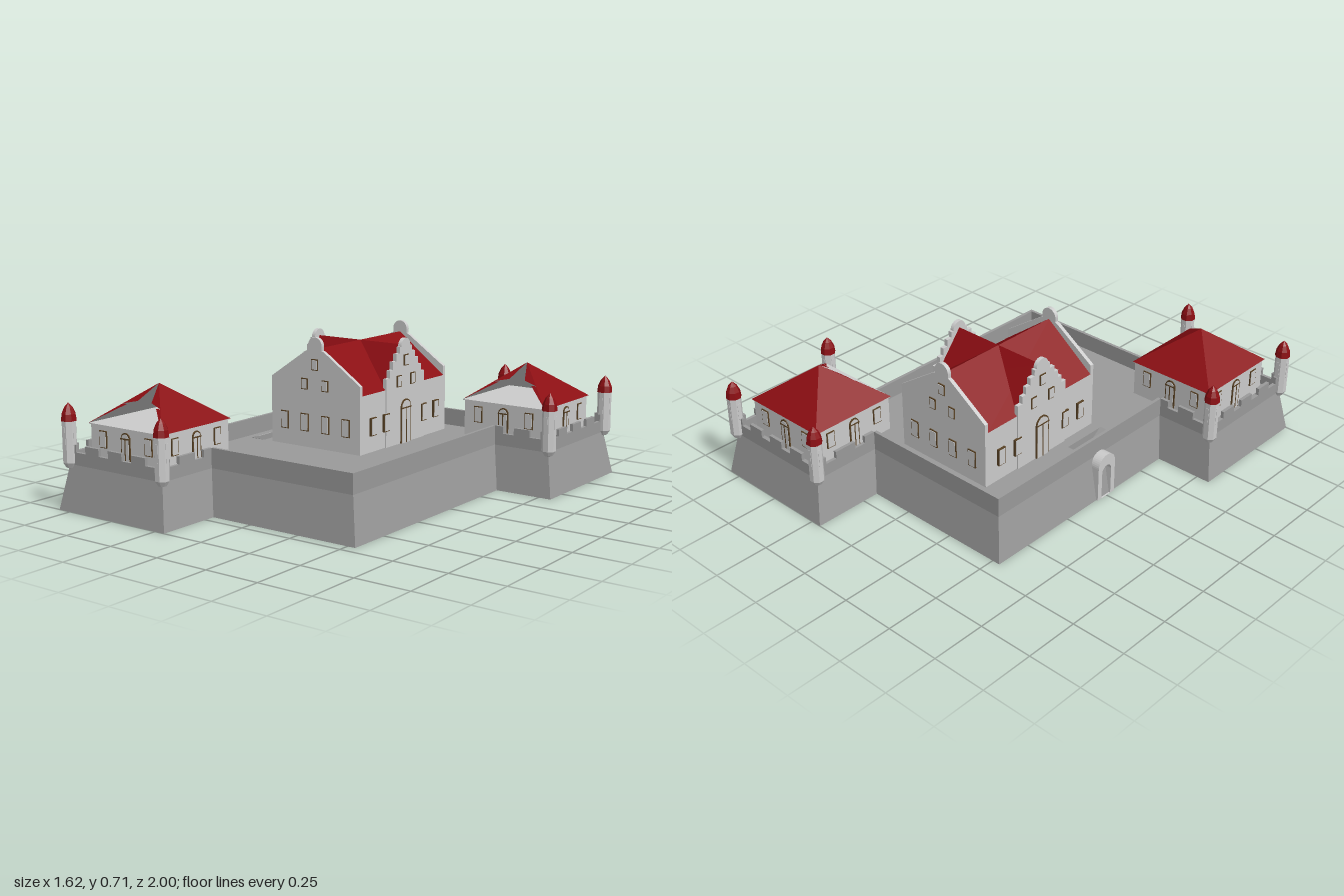
import * as THREE from 'three';

const mat = (color, side = THREE.FrontSide) =>
  new THREE.MeshStandardMaterial({ color, side, flatShading: true });
const GREY = mat(0xcccccc), STONE = mat(0x9a9a9a, THREE.DoubleSide), RED = mat(0x8b0d12);
const BROWN = mat(0x5a4326), UNDER = mat(0xcccccc, THREE.BackSide);
const FLOOR = 0.21, WALL_TOP = 0.288;

function add(parent, name, geometry, material, x = 0, y = 0, z = 0) {
  const m = new THREE.Mesh(geometry, material);
  m.name = name;
  m.position.set(x, y, z);
  parent.add(m);
  return m;
}
function group(parent, name, x = 0, y = 0, z = 0, turn = 0) {
  const g = new THREE.Group();
  g.name = name;
  g.position.set(x, y, z);
  g.rotation.y = turn;
  parent.add(g);
  return g;
}
const box = (w, h, d) => new THREE.BoxGeometry(w, h, d);
const shapeOf = pts => new THREE.Shape(pts.map(p => new THREE.Vector2(p[0], p[1])));
const slab = (shape, depth) =>
  new THREE.ExtrudeGeometry(shape, { depth, bevelEnabled: false, curveSegments: 10 });
function faces(points) {
  const g = new THREE.BufferGeometry();
  g.setAttribute('position', new THREE.Float32BufferAttribute(points.flat(), 3));
  g.computeVertexNormals();
  return g;
}
function archShape(w, h) {
  const r = w / 2, s = new THREE.Shape();
  s.moveTo(-r, 0);
  s.lineTo(r, 0);
  s.lineTo(r, h - r);
  s.absarc(0, h - r, r, 0, Math.PI, false);
  s.closePath();
  return s;
}

// Openings on a facade lying in the local xy plane
function windowAt(g, x, y, w, h) {
  add(g, 'windowFrame', box(w, h, 0.01), BROWN, x, y, 0);
  add(g, 'windowPane', box(w - 0.008, h - 0.008, 0.014), GREY, x, y, 0);
}
function doorAt(g, w, h) {
  add(g, 'doorFrame', slab(archShape(w, h), 0.01), BROWN, 0, FLOOR, -0.005);
  add(g, 'doorPanel', slab(archShape(w - 0.012, h - 0.006), 0.012), GREY, 0, FLOOR, -0.005);
  add(g, 'doorTransom', box(w, 0.006, 0.016), BROWN, 0, FLOOR + h - w / 2, 0);
  add(g, 'doorMullion', box(0.005, h - w / 2, 0.016), BROWN, 0, FLOOR + (h - w / 2) / 2, 0);
}

// Outline of the fort in x, z, going round with the outside on the right
const OUTLINE = [[-0.813, 1], [-0.2, 1], [-0.2, 0.7], [0.538, 0.7], [0.538, -0.388], [0.81, -0.388],
  [0.81, -1], [0.2, -1], [0.2, -0.675], [-0.537, -0.675], [-0.537, 0.383], [-0.813, 0.383]];
const COUNT = OUTLINE.length;
function inset(d) {
  return OUTLINE.map((p, i) => {
    const a = OUTLINE[(i + COUNT - 1) % COUNT], b = OUTLINE[(i + 1) % COUNT];
    return [p[0] + d * (Math.sign(p[1] - a[1]) + Math.sign(b[1] - p[1])),
      p[1] - d * (Math.sign(p[0] - a[0]) + Math.sign(b[0] - p[0]))];
  });
}

function rampart(parent) {
  const g = group(parent, 'rampart');
  const top = inset(0.037), tris = [];
  OUTLINE.forEach((a, i) => {
    const j = (i + 1) % COUNT, b = OUTLINE[j], c = top[j], d = top[i];
    const A = [a[0], 0, a[1]], B = [b[0], 0, b[1]], C = [c[0], 0.2, c[1]], D = [d[0], 0.2, d[1]];
    tris.push(A, B, C, A, C, D);

    // Parapet on this edge, notched around the bastions
    const dx = c[0] - d[0], dz = c[1] - d[1], len = Math.hypot(dx, dz);
    const pts = [[0, 0.2], [len, 0.2], [len, WALL_TOP]];
    if (![2, 3, 8, 9].includes(i)) {
      const n = Math.max(2, Math.round(len / 0.13)), step = len / n;
      for (let k = n - 1; k >= 0; k--) {
        const m = (k + 0.5) * step;
        pts.push([m + 0.028, WALL_TOP], [m + 0.028, 0.255], [m - 0.028, 0.255], [m - 0.028, WALL_TOP]);
      }
    }
    pts.push([0, WALL_TOP]);
    const edge = group(g, 'parapetSide', d[0], 0, d[1], Math.atan2(-dz, dx));
    add(edge, 'parapet', slab(shapeOf(pts), 0.015), STONE, 0, 0, -0.015);
  });
  add(g, 'slopingWalls', faces(tris), STONE);
  add(g, 'underside', new THREE.ShapeGeometry(shapeOf(OUTLINE)), STONE).rotation.x = Math.PI / 2;

  // Courtyard floor with the sunken ramp by the gate
  const yard = shapeOf(top.map(p => [p[0], -p[1]]));
  yard.holes.push(new THREE.Path([[-0.45, 0.07], [-0.375, 0.07], [-0.375, -0.15], [-0.45, -0.15]]
    .map(p => new THREE.Vector2(p[0], p[1]))));
  add(g, 'courtyard', new THREE.ShapeGeometry(yard), STONE, 0, FLOOR, 0).rotation.x = -Math.PI / 2;
  const wedge = slab(shapeOf([[-0.15, 0], [0.07, 0], [0.07, 0.05], [-0.15, FLOOR]]), 0.075);
  add(g, 'ramp', wedge, STONE, -0.375, 0.001, 0).rotation.y = Math.PI / 2;
  g.getObjectByName('ramp').position.x = -0.45;
  for (const x of [-0.45, -0.375]) add(g, 'rampWall', box(0.002, 0.2, 0.22), STONE, x, 0.108, 0.04);
  add(g, 'rampEnd', box(0.075, 0.2, 0.002), STONE, -0.4125, 0.108, -0.07);

  // Gate surround in the left wall
  const gate = archShape(0.11, 0.215), hole = archShape(0.06, 0.16);
  gate.holes.push(new THREE.Path(hole.getPoints(8)));
  add(g, 'gate', slab(gate, 0.05), GREY, -0.495, 0, -0.005).rotation.y = -Math.PI / 2;
}

function turret(parent, x, z) {
  const g = group(parent, 'turret', x, 0, z, Math.PI / 8);
  const lathe = pts => new THREE.LatheGeometry(pts.map(p => new THREE.Vector2(p[0], p[1])), 8);
  add(g, 'turretShaft', lathe([[0, 0.18], [0.018, 0.186], [0.032, 0.208], [0.032, 0.395], [0, 0.395]]), GREY);
  add(g, 'turretRoof', lathe([[0, 0.39], [0.035, 0.39], [0.031, 0.42], [0.019, 0.447], [0, 0.468]]), RED);
  for (let k = 0; k < 4; k++) {
    const side = group(g, 'turretSide', 0, 0, 0, k * Math.PI / 2 - Math.PI / 8);
    add(side, 'slit', box(0.012, 0.08, 0.003), GREY, 0, 0.325, 0.0295);
  }
}

// Square corner house; its roof is open on the front, showing the attic floor
function cornerHouse(parent, x, z) {
  const g = group(parent, 'cornerHouse', x, 0, z);
  const E = 0.376, A = 0.54, H = 0.214;
  add(g, 'houseWalls', box(0.412, E - FLOOR, 0.412), GREY, 0, (E + FLOOR) / 2, 0);
  add(g, 'atticFloor', box(2 * H - 0.004, 0.004, 2 * H - 0.004), GREY, 0, E - 0.002, 0);
  const apex = [0, A, 0];
  const fl = [-H, E, H], fr = [H, E, H], bl = [-H, E, -H], br = [H, E, -H];
  const on = (px, pz) => [px, A - (A - E) * pz / H, pz];
  const roof = faces([apex, fr, br, apex, br, bl, apex, bl, fl,
    apex, on(-0.11, 0.11), on(-0.04, 0.09), apex, on(0.04, 0.09), on(0.11, 0.11),
    on(-0.11, 0.11), fl, on(-0.085, 0.11), on(0.11, 0.11), on(0.085, 0.11), fr]);
  add(g, 'roof', roof, RED);
  add(g, 'roofLining', roof, UNDER);
  for (let k = 0; k < 4; k++) {
    const turn = k * Math.PI / 2;
    const f = group(g, 'facade', 0.206 * Math.sin(turn), 0, 0.206 * Math.cos(turn), turn);
    for (const s of [-1, 1]) windowAt(f, s * 0.132, 0.313, 0.042, 0.075);
    doorAt(f, 0.052, 0.148);
  }
}

function mainHouse(parent) {
  const g = group(parent, 'mainHouse', -0.083, 0, -0.193);
  const W = 0.245, D = 0.325, E = 0.47, R = 0.655;
  add(g, 'mainWalls', box(2 * W, E - FLOOR, 2 * D), GREY, 0, (E + FLOOR) / 2, 0);
  add(g, 'mainRoof', slab(shapeOf([[-W, E], [W, E], [0, R]]), 2 * D), RED, 0, 0, -D);
  add(g, 'crossRoof', slab(shapeOf([[-0.15, E], [0.15, E], [0, R]]), 2 * W), RED, -W, 0, 0)
    .rotation.y = Math.PI / 2;

  // Gable outline mirrored about its middle, with a round crown
  const gable = (half, crownY, r) => {
    const s = new THREE.Shape();
    half.forEach((p, i) => (i ? s.lineTo(p[0], p[1]) : s.moveTo(p[0], p[1])));
    s.absarc(0, crownY, r, 0, Math.PI, false);
    [...half].reverse().forEach(p => s.lineTo(-p[0], p[1]));
    return s;
  };
  const straight = gable([[W, FLOOR], [W, 0.513], [0.05, 0.645], [0.037, 0.65]], 0.669, 0.038);
  const stepped = gable([[0.15, FLOOR], [0.15, 0.52], [0.123, 0.52], [0.123, 0.555], [0.1, 0.555],
    [0.1, 0.59], [0.075, 0.59], [0.075, 0.622], [0.048, 0.622], [0.048, 0.65], [0.036, 0.65]], 0.65, 0.036);

  for (const turn of [0, Math.PI]) {
    const f = group(g, 'endGable', 0, 0, Math.cos(turn) * (D + 0.015), turn);
    add(f, 'gableWall', slab(straight, 0.018), GREY, 0, 0, -0.018);
    for (const x of [-0.17, -0.057, 0.057, 0.17]) windowAt(f, x, 0.322, 0.043, 0.08);
    for (const x of [-0.056, 0.056]) windowAt(f, x, 0.496, 0.035, 0.05);
    windowAt(f, 0, 0.586, 0.036, 0.05);
  }
  for (const s of [-1, 1]) {
    const f = group(g, 'sideGable', s * (W + 0.006), 0, 0, s * Math.PI / 2);
    add(f, 'steppedWall', slab(stepped, 0.018), GREY, 0, 0, -0.018);
    for (const x of [-0.15, 0.15]) windowAt(f, x, 0.325, 0.042, 0.08);
    for (const x of [-0.25, 0.25]) windowAt(f, x, 0.325, 0.042, 0.08);
    for (const x of [-0.054, 0.054]) windowAt(f, x, 0.498, 0.034, 0.052);
    windowAt(f, 0, 0.588, 0.036, 0.05);
    doorAt(f, 0.078, 0.2);
  }
}

export function createModel() {
  const model = new THREE.Group();
  model.name = 'fortress';
  rampart(model);
  mainHouse(model);
  cornerHouse(model, -0.507, 0.687);
  cornerHouse(model, 0.505, -0.697);
  for (const [x, z] of [[-0.775, 0.418], [-0.775, 0.962], [-0.238, 0.962],
    [0.235, -0.965], [0.773, -0.965], [0.773, -0.427]]) turret(model, x, z);
  return model;
}
